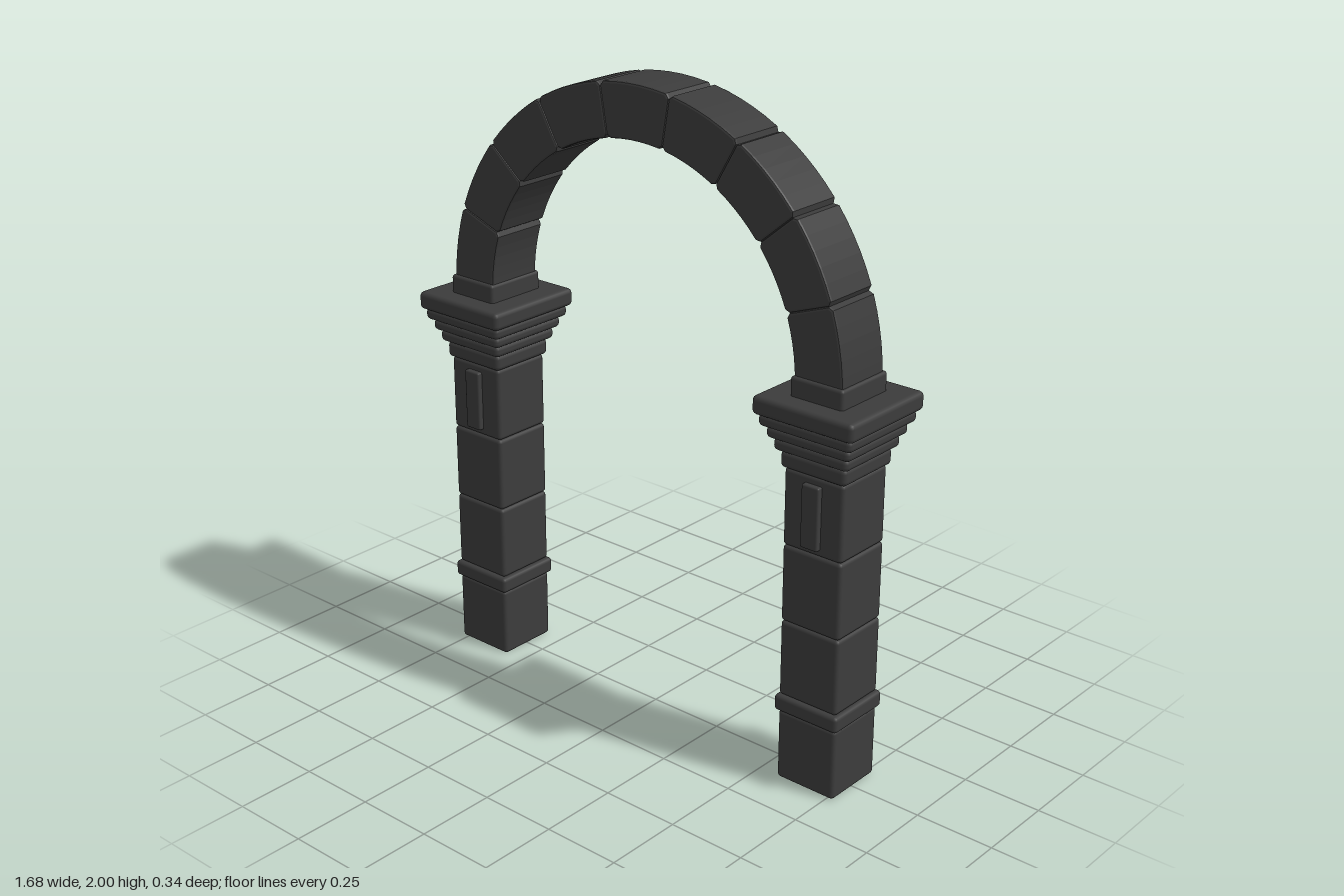
import * as THREE from 'three';
import { RoundedBoxGeometry } from 'three/addons/geometries/RoundedBoxGeometry.js';

const stone = new THREE.MeshStandardMaterial({ color: 0x3c3c3c });

// Rounded stone course standing between two heights
function course(name, width, depth, y0, y1, radius) {
  const mesh = new THREE.Mesh(new RoundedBoxGeometry(width, y1 - y0, depth, 2, radius), stone);
  mesh.name = name;
  mesh.position.y = (y0 + y1) / 2;
  return mesh;
}

function createPillar(x) {
  const pillar = new THREE.Group();
  pillar.name = x > 0 ? 'leftPillar' : 'rightPillar';
  pillar.position.x = x;

  // Shaft blocks and the band around the foot
  const shaft = [[0, 0.228], [0.28, 0.522], [0.522, 0.764], [0.764, 1.003]];
  shaft.forEach(([y0, y1], i) => pillar.add(course('shaftBlock' + (i + 1), 0.206, 0.206, y0, y1, 0.012)));
  pillar.add(course('footBand', 0.226, 0.226, 0.228, 0.28, 0.012));

  // Stepped capital: [width, bottom, top]
  const steps = [[0.226, 1.003, 1.056], [0.256, 1.056, 1.094], [0.286, 1.094, 1.13],
    [0.318, 1.13, 1.168], [0.344, 1.165, 1.222]];
  steps.forEach(([w, y0, y1], i) => pillar.add(course('capitalStep' + (i + 1), w, w, y0, y1, 0.015)));
  pillar.add(course('impost', 0.18, 0.21, 1.21, 1.28, 0.01));

  // Raised panels, front and back
  for (const side of [1, -1]) {
    const panel = course(side > 0 ? 'frontPanel' : 'backPanel', 0.06, 0.04, 0.785, 0.98, 0.006);
    panel.position.z = side * 0.1;
    pillar.add(panel);
  }
  return pillar;
}

// Wedge stone centred on the +y direction, with trimmed corners and bevelled faces
function wedgeGeometry(inner, outer, angle, depth) {
  const bevel = 0.007, trim = 0.008, segments = 5;
  const r0 = inner + bevel, r1 = outer - bevel;
  const points = [];
  const add = (r, a, shift) => points.push(new THREE.Vector2(
    Math.sin(a) * r + Math.cos(a) * shift, Math.cos(a) * r - Math.sin(a) * shift));
  const half = angle / 2;
  // Outer curve, from right to left
  add(r1 - trim, half, -bevel);
  for (let i = 0; i <= segments; i++) {
    const t = 1 - 2 * i / segments;
    add(r1, half * t, -t * (bevel + trim));
  }
  add(r1 - trim, -half, bevel);
  // Inner curve, from left to right
  add(r0 + trim, -half, bevel);
  for (let i = 0; i <= segments; i++) {
    const t = -1 + 2 * i / segments;
    add(r0, half * t, -t * (bevel + trim));
  }
  add(r0 + trim, half, -bevel);
  const geometry = new THREE.ExtrudeGeometry(new THREE.Shape(points), {
    depth: depth - 2 * bevel, bevelEnabled: true, bevelThickness: bevel,
    bevelSize: bevel, bevelSegments: 2, steps: 1,
  });
  return geometry.translate(0, 0, -depth / 2 + bevel);
}

function createArch() {
  const arch = new THREE.Group();
  arch.name = 'arch';
  arch.position.y = 1.25;
  const count = 9, angle = Math.PI / count;
  const geometry = wedgeGeometry(0.585, 0.75, angle, 0.19);
  for (let i = 0; i < count; i++) {
    const wedge = new THREE.Mesh(geometry, stone);
    wedge.name = i === (count - 1) / 2 ? 'keystone' : 'archStone' + (i + 1);
    wedge.rotation.z = (i - (count - 1) / 2) * angle;
    arch.add(wedge);
  }
  return arch;
}

export function createModel() {
  const model = new THREE.Group();
  model.name = 'stoneArchway';
  for (const side of [1, -1]) model.add(createPillar(side * 0.668));
  model.add(createArch());
  return model;
}
